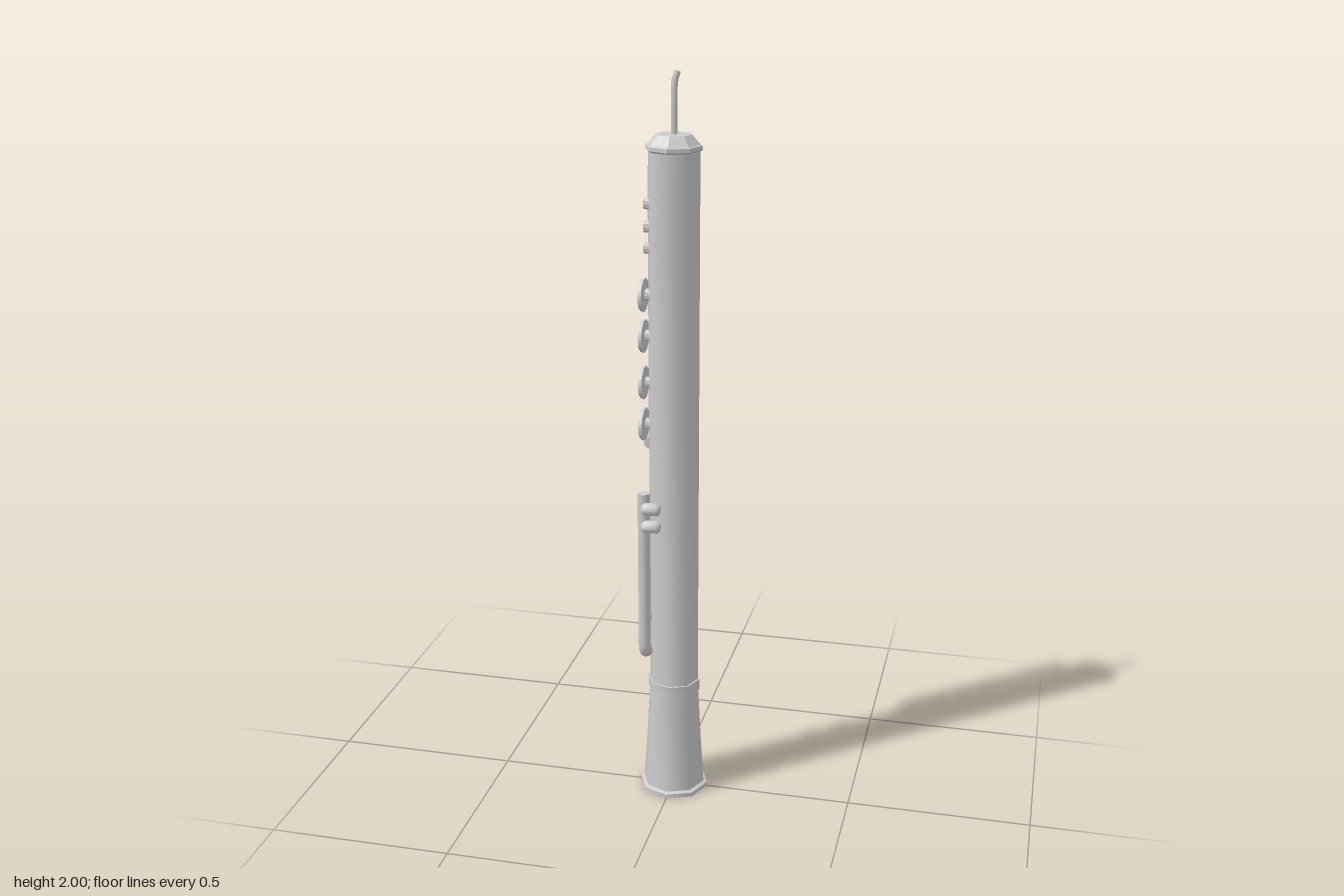
import * as THREE from 'three';
import { toCreasedNormals } from 'three/addons/utils/BufferGeometryUtils.js';

const grey = new THREE.MeshStandardMaterial({ color: 0xcccccc });
const flatGrey = new THREE.MeshStandardMaterial({ color: 0xcccccc, flatShading: true });
const V = (x, y, z) => new THREE.Vector3(x, y, z);

function add(parent, name, geometry, material = grey) {
  const mesh = new THREE.Mesh(geometry, material);
  mesh.name = name;
  parent.add(mesh);
  return mesh;
}

// Eight-sided turned part; profile runs from the inside or bottom up the outside
function turned(profile) {
  const g = new THREE.LatheGeometry(profile.map(p => new THREE.Vector2(...p)), 8);
  return toCreasedNormals(g, 0.8);
}

// Bent rod with closed ends
function rod(parent, name, points, radius, steps = 12, sides = 8) {
  const group = new THREE.Group();
  group.name = name;
  const path = new THREE.CurvePath();
  if (points.length === 2) path.add(new THREE.LineCurve3(points[0], points[1]));
  else {
    path.add(new THREE.LineCurve3(points[0], points[1]));
    path.add(new THREE.QuadraticBezierCurve3(points[1], points[2], points[3]));
    path.add(new THREE.LineCurve3(points[3], points[4]));
  }
  add(group, name + 'Tube', new THREE.TubeGeometry(path, steps, radius, sides));
  for (const end of [0, 1]) {
    const cap = add(group, name + 'End', new THREE.CircleGeometry(radius, sides));
    const dir = path.getTangentAt(end).multiplyScalar(end ? 1 : -1);
    cap.position.copy(path.getPointAt(end));
    cap.quaternion.setFromUnitVectors(V(0, 0, 1), dir);
  }
  parent.add(group);
}

// Touch piece: two short bevelled rollers on the front (side 1) or back (side -1)
function rollers(parent, side, heights) {
  const profile = [[0, -0.025], [0.012, -0.025], [0.018, -0.017], [0.018, 0.017], [0.012, 0.025], [0, 0.025]];
  for (const y of heights) {
    const r = add(parent, 'rollerKey', turned(profile));
    r.rotation.z = Math.PI / 2;
    r.position.set(-0.046, y, side * 0.075);
  }
}

// Round key facing -x
function pad(parent, name, y, z, radius, x0, x1) {
  const g = new THREE.CylinderGeometry(radius, radius * 0.92, x0 - x1, 10);
  const p = add(parent, name, toCreasedNormals(g, 0.8));
  p.rotation.z = -Math.PI / 2;
  p.position.set((x0 + x1) / 2, y, z);
}

export function createModel() {
  const model = new THREE.Group();
  model.name = 'woodwind';

  // Body, hollow bell and joint ring
  add(model, 'body', turned([[0.068, 0.3], [0.068, 1.81]]));
  add(model, 'bell', turned([
    [0, 0.32], [0.042, 0.32], [0.055, 0.15], [0.086, 0], [0.096, 0],
    [0.096, 0.012], [0.086, 0.016], [0.078, 0.14], [0.069, 0.31],
  ]));
  add(model, 'jointRing', turned([[0.066, 0.305], [0.073, 0.305], [0.073, 0.335], [0.066, 0.335]]));

  // Bevelled cap
  add(model, 'cap', turned([
    [0.066, 1.8], [0.074, 1.806], [0.074, 1.816], [0.068, 1.82], [0.047, 1.843], [0, 1.843],
  ]).toNonIndexed(), flatGrey);

  // Reed with a slightly bent tip
  rod(model, 'reed', [
    V(0, 1.84, 0), V(0, 1.95, 0), V(0, 1.975, 0), V(0.003, 1.985, -0.003), V(0.007, 1.998, -0.006),
  ], 0.009, 12, 7);

  // Side rods: straight down, then bent inwards to the key line
  for (const [name, side, top, bottom] of [['upperRod', -1, 1.75, 1.02], ['lowerRod', 1, 0.9, 0.425]]) {
    rod(model, name, [
      V(-0.068, top, side * 0.063), V(-0.068, bottom + 0.04, side * 0.063),
      V(-0.068, bottom, side * 0.063), V(-0.068, bottom, side * 0.03), V(-0.066, bottom, 0),
    ], 0.017, 32);
  }
  rod(model, 'sideLever', [V(-0.068, 0.53, 0.063), V(-0.068, 0.525, 0.005)], 0.013, 2);
  rollers(model, -1, [1.14, 1.088]);
  rollers(model, 1, [0.86, 0.81]);

  // Finger pads and small upper keys
  for (const y of [1.427, 1.317, 1.19, 1.075, 0.77, 0.654]) {
    pad(model, 'fingerPad', y, 0.006, 0.045, -0.076, -0.086);
    pad(model, 'padStem', y, 0, 0.016, -0.055, -0.078);
  }
  for (const y of [1.665, 1.605, 1.55]) pad(model, 'smallKey', y, 0, 0.016, -0.055, -0.078);

  return model;
}
